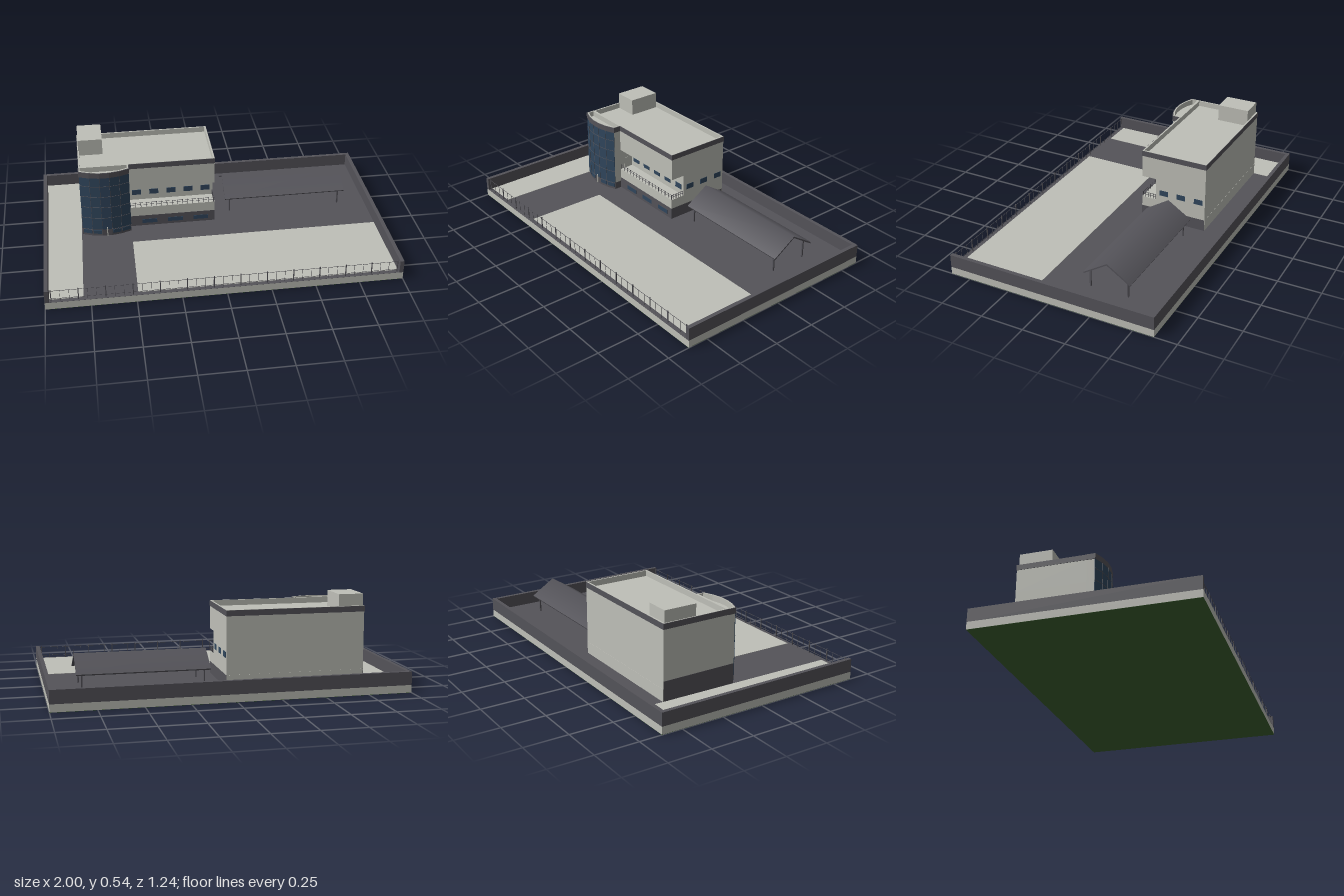
import * as THREE from 'three';

const mat = (name, color) => Object.assign(new THREE.MeshStandardMaterial({ color }), { name });

export function createModel() {
  const light = mat('pale concrete', 0xbfc0b8);
  const dark = mat('dark grey', 0x545359);
  const glass = mat('blue glass', 0x30465d);
  const green = mat('dark green underside', 0x406532);
  const model = new THREE.Group();
  model.name = 'buildingSite';

  // Box given by its limits on each axis
  const box = (name, m, x0, x1, y0, y1, z0, z1, parent = model) => {
    const mesh = new THREE.Mesh(new THREE.BoxGeometry(x1 - x0, y1 - y0, z1 - z0), m);
    mesh.position.set((x0 + x1) / 2, (y0 + y1) / 2, (z0 + z1) / 2);
    mesh.name = name;
    parent.add(mesh);
    return mesh;
  };
  // Vertical prism over a plan of [x, z] points, with an optional hole
  const prism = (name, m, plan, y0, y1, hole) => {
    const toV = (p) => new THREE.Vector2(p[0], -p[1]);
    const shape = new THREE.Shape(plan.map(toV));
    if (hole) shape.holes.push(new THREE.Path(hole.map(toV)));
    const geo = new THREE.ExtrudeGeometry(shape, { depth: y1 - y0, bevelEnabled: false });
    geo.rotateX(-Math.PI / 2);
    const mesh = new THREE.Mesh(geo, m);
    mesh.position.y = y0;
    mesh.name = name;
    model.add(mesh);
  };
  const rect = (x0, x1, z0, z1) => [[x0, z0], [x0, z1], [x1, z1], [x1, z0]];

  // Plinth, paving and lawns
  box('underside', green, -1, 1, 0, 0.001, -0.62, 0.62);
  box('plinth', light, -1, 1, 0.001, 0.044, -0.62, 0.62);
  box('paving', dark, -1, 1, 0.044, 0.045, -0.62, 0.62);
  const lawn = [
    [[-0.978, -0.598], [-0.978, 0.595], [-0.79, 0.595], [-0.768, -0.598]],
    [[-0.485, 0.11], [-0.492, 0.595], [0.975, 0.595], [0.975, 0.105]],
  ];
  lawn.forEach((p) => prism('lightGround', light, p, 0.045, 0.047));

  // Boundary walls on three sides
  box('backWall', dark, -1, 1, 0.045, 0.12, -0.62, -0.598);
  for (const s of [-1, 1]) box('sideWall', dark, s < 0 ? -1 : 0.977, s < 0 ? -0.977 : 1, 0.045, 0.12, -0.598, 0.62);

  // Open fence along the front
  const fence = new THREE.Group();
  fence.name = 'frontFence';
  model.add(fence);
  for (const y of [0.06, 0.112]) box('fenceRail', dark, -0.977, 0.977, y, y + 0.0015, 0.607, 0.609, fence);
  for (let i = 0; i <= 13; i++) {
    const x = -0.965 + i * 0.1485;
    box('fencePost', dark, x - 0.0025, x + 0.0025, 0.045, 0.12, 0.605, 0.61, fence);
    if (i < 13) for (const k of [1, 2]) {
      const b = x + k * 0.0495;
      box('fenceBar', dark, b - 0.0008, b + 0.0008, 0.045, 0.115, 0.607, 0.609, fence);
    }
  }

  // Main block, with a recessed terrace on the front
  const L = -0.77, R = 0.025, B = -0.462, F = -0.06, T = -0.485, ROOF = 0.443, TOP = 0.476;
  box('groundFloor', dark, L, R, 0.045, 0.115, B, F);
  box('groundFloorBack', light, L, R, 0.045, 0.115, B - 0.001, B);
  box('terraceFloor', light, L, R, 0.115, 0.175, B, F);
  box('middleFloor', light, L, R, 0.175, 0.31, B, -0.15);
  box('stairCore', light, L, T, 0.175, 0.31, -0.15, F);
  box('upperFloor', light, L, R, 0.31, ROOF, B, F);
  box('sidePlinthBand', dark, L - 0.002, L, 0.045, 0.16, B, -0.016);
  prism('parapet', light, rect(L, R, B, F), ROOF, TOP, rect(L + 0.009, R - 0.009, B + 0.009, F - 0.009));
  prism('parapetBand', dark, rect(L - 0.002, R + 0.002, B - 0.002, F + 0.002), ROOF, TOP - 0.001, rect(L, R, B, F));
  box('roofHouse', light, -0.765, -0.622, ROOF, 0.543, -0.452, -0.26);

  // Windows and terrace door
  for (let i = 0; i < 5; i++) {
    const x = -0.437 + i * 0.104;
    box('terraceWindow', glass, x - 0.027, x + 0.027, 0.21, 0.243, -0.15, -0.147);
  }
  for (const x of [-0.37, -0.215, -0.06]) box('groundWindow', glass, x - 0.045, x + 0.045, 0.062, 0.088, F, F + 0.002);
  for (const z of [-0.202, -0.31, -0.42]) box('sideWindow', glass, R, R + 0.002, 0.21, 0.243, z - 0.027, z + 0.027);
  box('terraceDoor', light, T, T + 0.002, 0.175, 0.243, -0.126, -0.086);

  // Terrace railing
  for (const y of [0.19, 0.203]) {
    box('frontRail', dark, T, R, y, y + 0.001, -0.065, -0.063);
    box('sideRail', dark, R - 0.005, R - 0.003, y, y + 0.002, -0.15, -0.063);
  }
  for (let i = 0; i <= 16; i++) {
    const x = T + 0.004 + i * 0.0312;
    box('frontBaluster', dark, x - 0.0015, x + 0.0015, 0.175, 0.206, -0.0655, -0.0625);
  }
  for (let i = 0; i < 6; i++) {
    const z = -0.146 + i * 0.0165;
    box('sideBaluster', dark, R - 0.0055, R - 0.0025, 0.175, 0.206, z - 0.001, z + 0.001);
  }

  // Tower with a shallow faceted glass front
  const half = (T - L) / 2, cx = (T + L) / 2, n = 5;
  const arc = Array.from({ length: n + 1 }, (_, i) => {
    const u = -1 + (2 * i) / n;
    return [cx + half * u, -0.015 + 0.035 * (1 - u * u)];
  });
  const plan = [[L, F], ...arc, [T, F]];
  const grow = (d) => plan.map(([x, z]) => [cx + (x - cx) * (1 + d / half), z > F ? z + d : z]);
  prism('towerBase', dark, plan, 0.045, 0.09);
  prism('towerBody', light, plan, 0.09, ROOF);
  prism('towerParapet', light, plan, ROOF, TOP, grow(-0.007).map(([x, z]) => [x, z > F ? z : z + 0.005]));
  prism('towerBand', dark, grow(0.004), ROOF - 0.001, TOP - 0.001, plan.map(([x, z]) => [x, z > F ? z : z + 0.002]));

  const levels = [0.09, 0.17, 0.243, 0.315, 0.385];
  for (let i = 0; i < n; i++) {
    const [ax, az] = arc[i], [bx, bz] = arc[i + 1];
    const w = Math.hypot(bx - ax, bz - az);
    const facet = new THREE.Group();
    facet.name = 'glassFacet';
    facet.position.set((ax + bx) / 2, 0, (az + bz) / 2);
    facet.rotation.y = -Math.atan2(bz - az, bx - ax);
    model.add(facet);
    box('glassPane', glass, -w / 2, w / 2, 0.09, ROOF, 0, 0.003, facet);
    for (const y of levels) box('transom', dark, -w / 2, w / 2, y - 0.001, y + 0.001, 0, 0.005, facet);
    if (i > 0) box('mullion', dark, -w / 2 - 0.001, -w / 2 + 0.001, 0.09, ROOF, 0, 0.005, facet);
    if (i !== 2) box('lowerPane', glass, -w * 0.42, w * 0.42, 0.06, 0.084, 0, 0.003, facet);
  }
  box('entranceDoorFrame', light, cx - 0.003, cx + 0.003, 0.046, 0.105, 0.019, 0.025);

  // Gabled parking canopy on four posts
  const canopy = new THREE.Shape([
    [-0.14, 0.145], [0, 0.235], [0.14, 0.145], [0.137, 0.138], [0, 0.226], [-0.137, 0.138],
  ].map(([z, y]) => new THREE.Vector2(z, y)));
  const roofGeo = new THREE.ExtrudeGeometry(canopy, { depth: 0.742, bevelEnabled: false });
  roofGeo.rotateY(Math.PI / 2);
  const roof = new THREE.Mesh(roofGeo, dark);
  roof.name = 'canopyRoof';
  roof.position.set(0.098, 0, -0.265);
  model.add(roof);
  // Top skin with normals blended over the ridge
  const skinGeo = new THREE.PlaneGeometry(0.742, 0.28, 1, 2);
  skinGeo.rotateX(-Math.PI / 2);
  const { position, normal } = skinGeo.attributes;
  for (let i = 0; i < position.count; i++) {
    const s = position.getZ(i) / 0.14;
    position.setY(i, 0.237 - 0.09 * Math.abs(s));
    normal.setXYZ(i, 0, 0.14, 0.09 * s);
  }
  skinGeo.normalizeNormals();
  const skin = new THREE.Mesh(skinGeo, dark);
  skin.name = 'canopySkin';
  skin.position.set(0.469, 0, -0.265);
  model.add(skin);
  for (const x of [0.13, 0.808]) for (const z of [-0.15, -0.375]) {
    box('canopyPost', dark, x - 0.004, x + 0.004, 0.045, 0.16, z - 0.004, z + 0.004);
  }
  return model;
}
